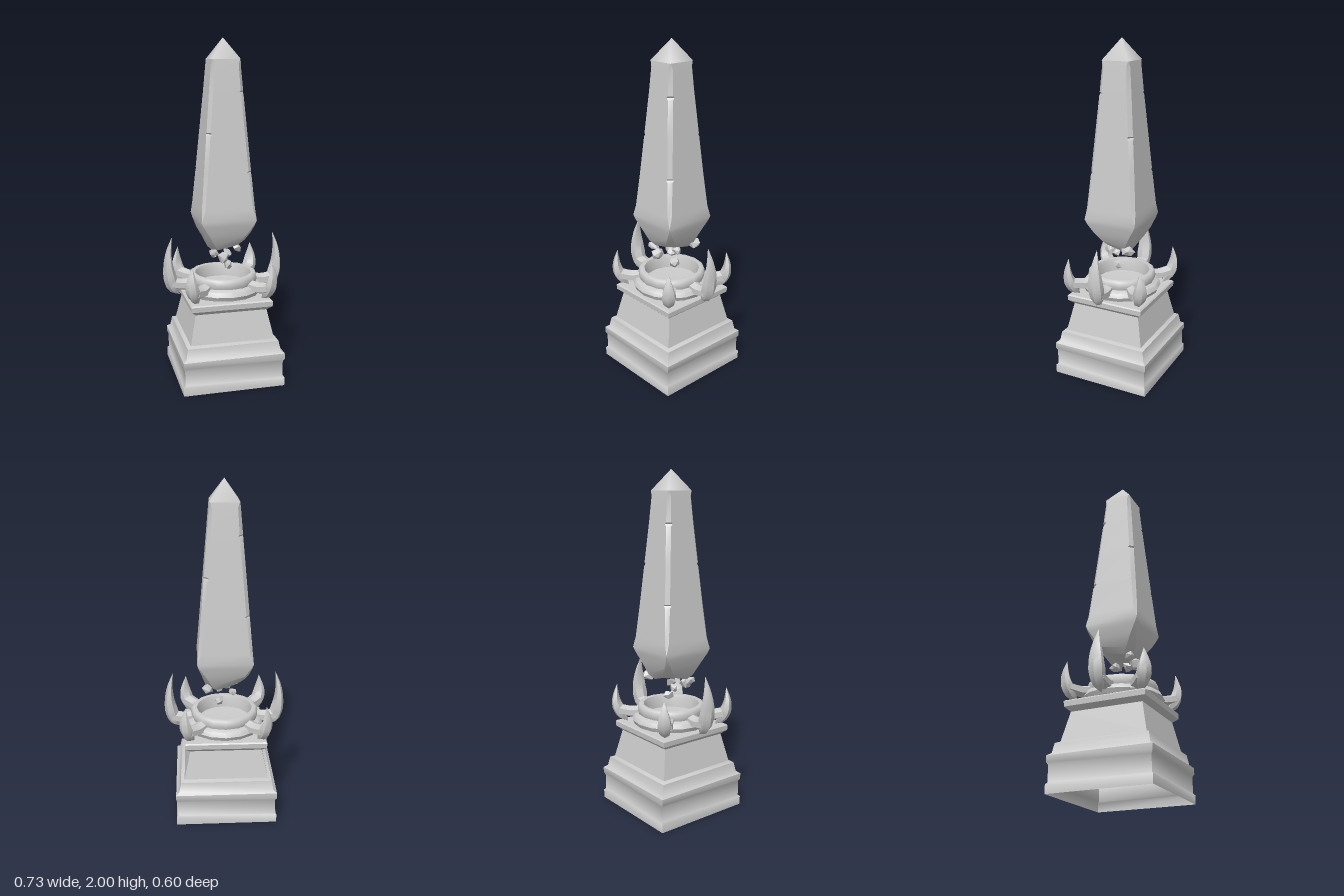
import * as THREE from 'three';
import { toCreasedNormals } from 'three/addons/utils/BufferGeometryUtils.js';
import { ConvexGeometry } from 'three/addons/geometries/ConvexGeometry.js';

const stone = new THREE.MeshStandardMaterial({ color: 0xcccccc });
const openStone = new THREE.MeshStandardMaterial({ color: 0xcccccc, side: THREE.DoubleSide });
const flatStone = new THREE.MeshStandardMaterial({ color: 0xcccccc, flatShading: true });

let seed = 7;
function rand() {
  seed = (seed * 16807) % 2147483647;
  return seed / 2147483647;
}

function part(name, geometry, material = stone) {
  const mesh = new THREE.Mesh(geometry, material);
  mesh.name = name;
  return mesh;
}

// Skin a list of equal-length rings and close both ends.
function loft(rings, crease) {
  const n = rings[0].length, pos = [], index = [];
  const add = (p) => pos.push(p.x, p.y, p.z);
  rings.forEach((ring) => ring.forEach(add));
  for (let i = 0; i < rings.length - 1; i++) {
    for (let j = 0; j < n; j++) {
      const k = (j + 1) % n;
      const a = i * n + j, b = i * n + k, c = a + n, d = b + n;
      index.push(a, b, d, a, d, c);
    }
  }
  [0, rings.length - 1].forEach((r) => {
    const centre = new THREE.Vector3();
    rings[r].forEach((p) => centre.addScaledVector(p, 1 / n));
    const m = pos.length / 3;
    add(centre);
    for (let j = 0; j < n; j++) {
      const a = r * n + j, b = r * n + (j + 1) % n;
      if (r === 0) index.push(m, b, a);
      else index.push(m, a, b);
    }
  });
  const g = new THREE.BufferGeometry();
  g.setAttribute('position', new THREE.Float32BufferAttribute(pos, 3));
  g.setIndex(index);
  return toCreasedNormals(g, crease);
}

// Turned profile; four sides give a square plinth.
function turned(profile, sides, scale, phase, crease) {
  const pts = profile.map(([r, y]) => new THREE.Vector2(r * scale, y));
  return toCreasedNormals(new THREE.LatheGeometry(pts, sides, phase), crease);
}

// Square ring with cut corners; cut and lift are given per corner.
function squareRing(y, h, cut, lift = () => 0) {
  const ring = [];
  for (let q = 0; q < 4; q++) {
    const c = cut(q), turn = q * Math.PI / 2;
    for (const [x, z] of [[h - c, h], [h, h - c]]) {
      ring.push(new THREE.Vector3(x, y + lift(q), z).applyAxisAngle(new THREE.Vector3(0, 1, 0), turn));
    }
  }
  return ring;
}

// Floating shaft: broken underside and chipped edges.
function shaftGeometry() {
  const jag = (q) => [0.02, -0.005, 0.025, 0][q];
  const rings = [
    squareRing(0.79, 0.085, () => 0.035, jag),
    squareRing(0.82, 0.113, () => 0.04, jag),
    squareRing(0.89, 0.137, () => 0.025),
    squareRing(0.945, 0.155, () => 0.008),
    squareRing(0.975, 0.162, () => 0.0005),
  ];
  const width = (y) => THREE.MathUtils.lerp(0.162, 0.084, (y - 0.975) / 0.9);
  rings.push(squareRing(1.04, width(1.04), () => 0.016));
  [1.25, 1.47, 1.7].forEach((y, i) => {
    const nick = (q) => ((i + q) % 2 ? 0.02 : 0.03);
    rings.push(squareRing(y - 0.014, width(y - 0.014), () => 0.02));
    rings.push(squareRing(y, width(y), nick));
    rings.push(squareRing(y + 0.008, width(y + 0.008), () => 0.02));
  });
  rings.push(squareRing(1.85, width(1.85), () => 0.016));
  rings.push(squareRing(1.88, 0.083, () => 0.004));
  return loft(rings, 0.6);
}

// Six-sided tube along a curve in the x-y plane; sizes are [depth, half width].
function hornGeometry(path, sizes) {
  const curve = new THREE.CatmullRomCurve3(path.map(([x, y]) => new THREE.Vector3(x, y, 0)));
  const steps = 12, rings = [];
  for (let i = 0; i <= steps; i++) {
    const t = i / steps;
    const c = curve.getPoint(t), d = curve.getTangent(t);
    const s = t * (sizes.length - 1), k = Math.min(Math.floor(s), sizes.length - 2);
    const deep = THREE.MathUtils.lerp(sizes[k][0], sizes[k + 1][0], s - k);
    const wide = THREE.MathUtils.lerp(sizes[k][1], sizes[k + 1][1], s - k);
    const ring = [];
    for (let j = 0; j < 6; j++) {
      const a = j * Math.PI / 3;
      const u = Math.cos(a) * deep, v = Math.sin(a) * wide / 0.866;
      ring.push(new THREE.Vector3(c.x - d.y * u, c.y + d.x * u, v));
    }
    rings.push(ring);
  }
  return loft(rings, 0.8);
}

function rockGeometry(size) {
  const pts = [];
  for (let i = 0; i < 11; i++) {
    const a = i * 2.4, y = 1 - 2 * (i + 0.5) / 11, r = Math.sqrt(1 - y * y);
    const s = size * (0.8 + rand() * 0.5);
    pts.push(new THREE.Vector3(Math.cos(a) * r * s, y * s * 0.8, Math.sin(a) * r * s * 0.7));
  }
  return new ConvexGeometry(pts);
}

export function createModel() {
  const model = new THREE.Group();
  model.name = 'floatingObelisk';

  // Stepped square pedestal, hollow and open underneath
  model.add(part('pedestal', turned([
    [0.3, 0], [0.3, 0.05], [0.291, 0.06], [0.291, 0.15], [0.3, 0.165], [0.3, 0.2],
    [0.28, 0.215], [0.27, 0.27], [0.248, 0.28], [0.212, 0.45], [0.24, 0.475], [0.242, 0.505],
    [0.235, 0.512], [0, 0.512],
  ], 4, Math.SQRT2, Math.PI / 4, 0.75), openStone));

  // Hollow round bowl
  model.add(part('bowl', turned([
    [0.19, 0.51], [0.225, 0.52], [0.237, 0.545], [0.225, 0.57], [0.198, 0.58], [0.205, 0.6],
    [0.2, 0.63], [0.19, 0.638], [0.168, 0.636], [0.16, 0.61], [0.155, 0.56], [0, 0.55],
  ], 16, 1, 0, 0.8)));

  // Two tall side claws and four short diagonal ones: a crescent on an arm
  const arm = hornGeometry([[0.17, 0.585], [0.24, 0.572], [0.315, 0.585]],
    [[0.032, 0.034], [0.034, 0.037], [0.032, 0.038]]);
  const tall = hornGeometry(
    [[0.265, 0.512], [0.3, 0.555], [0.322, 0.62], [0.332, 0.7], [0.327, 0.78], [0.308, 0.86]],
    [[0.001, 0.001], [0.038, 0.032], [0.04, 0.042], [0.028, 0.036], [0.016, 0.02], [0.001, 0.001]]);
  const short = hornGeometry(
    [[0.265, 0.512], [0.3, 0.55], [0.325, 0.595], [0.337, 0.645], [0.336, 0.69], [0.33, 0.74]],
    [[0.001, 0.001], [0.034, 0.028], [0.036, 0.038], [0.026, 0.032], [0.015, 0.018], [0.001, 0.001]]);
  for (const deg of [0, 45, 135, 180, 225, 315]) {
    const isTall = deg % 180 === 0;
    const claw = new THREE.Group();
    claw.name = isTall ? 'tallClaw' : 'shortClaw';
    claw.add(part('arm', arm), part('crescent', isTall ? tall : short));
    claw.rotation.y = THREE.MathUtils.degToRad(deg);
    model.add(claw);
  }

  // Shaft with a softly shaded pointed cap
  model.add(part('shaft', shaftGeometry()));
  model.add(part('cap', turned([[0.083, 1.88], [0, 2]], 4, Math.SQRT2, Math.PI / 4, 1.5)));

  // Loose fragments under the shaft
  const rocks = [
    [-0.075, 0.775, 0.08, 0.034], [-0.02, 0.745, 0.095, 0.04], [0.025, 0.755, 0.02, 0.032],
    [0.1, 0.8, -0.09, 0.046], [0.03, 0.675, 0, 0.036], [-0.05, 0.74, -0.02, 0.028],
    [0.08, 0.785, 0.03, 0.034],
  ];
  for (const [x, y, z, size] of rocks) {
    const rock = part('fragment', rockGeometry(size), flatStone);
    rock.position.set(x, y, z);
    rock.rotation.set(rand() * 3, rand() * 3, rand() * 3);
    model.add(rock);
  }
  return model;
}
